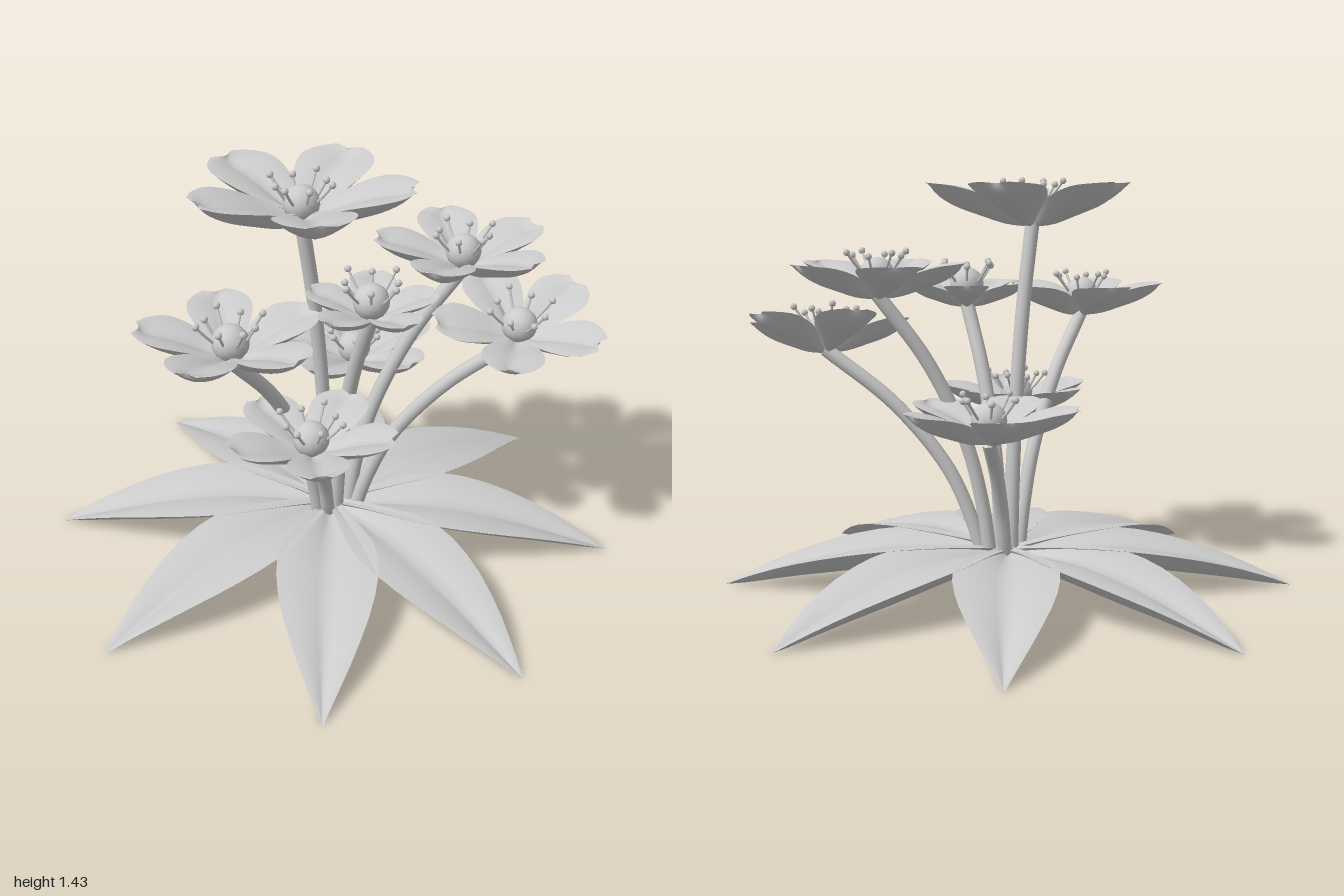
import * as THREE from 'three';
import { mergeGeometries } from 'three/addons/utils/BufferGeometryUtils.js';

const material = new THREE.MeshStandardMaterial({ color: 0xcccccc });
const rad = THREE.MathUtils.degToRad;

function addMesh(parent, name, geometry) {
  const mesh = new THREE.Mesh(geometry, material);
  mesh.name = name;
  parent.add(mesh);
  return mesh;
}

// Boat-shaped blade along +z: shallow creased top, rounded belly, sharp rim.
// stations: [distance, half width, rim height, belly depth]
function bladeGeometry(stations, dip, notch, rows = 14, cols = 10) {
  const last = stations.length - 1;
  const curves = [
    new THREE.CatmullRomCurve3(stations.map(s => new THREE.Vector3(s[0], s[1], s[2]))),
    new THREE.CatmullRomCurve3(stations.map((s, i) => new THREE.Vector3(i / last, s[3], 0))),
  ];
  const surface = top => {
    const pos = [], index = [];
    for (let i = 0; i <= rows; i++) {
      const t = i / rows;
      const p = curves[0].getPoint(t);
      const belly = Math.max(curves[1].getPoint(t).y, 0);
      for (let j = 0; j <= cols; j++) {
        const v = (j / cols) * 2 - 1;
        // The crease is deepest mid-blade; the belly is a rounded keel
        const drop = top
          ? Math.min(dip, belly * 0.5) * (1 - Math.abs(v)) ** 2
          : belly * (1 - Math.abs(v) ** 1.7);
        const nick = notch * t ** 12 * (1 - Math.abs(v));
        pos.push(v * Math.max(p.y, 0), p.z - drop, p.x - nick);
        if (i < rows && j < cols) {
          const a = i * (cols + 1) + j, b = a + cols + 1;
          if (top) index.push(a, b, a + 1, b, b + 1, a + 1);
          else index.push(a, a + 1, b, b, a + 1, b + 1);
        }
      }
    }
    const g = new THREE.BufferGeometry();
    g.setAttribute('position', new THREE.Float32BufferAttribute(pos, 3));
    g.setIndex(index);
    g.computeVertexNormals();
    return g;
  };
  return mergeGeometries([surface(true), surface(false)]);
}

const leafGeometry = bladeGeometry([
  [0, 0.02, 0.15, 0.03], [0.16, 0.09, 0.17, 0.07], [0.36, 0.168, 0.18, 0.09],
  [0.56, 0.16, 0.155, 0.09], [0.76, 0.105, 0.105, 0.065], [0.92, 0.04, 0.045, 0.03],
  [1, 0.004, 0.008, 0],
], 0.03, 0);

const petalGeometry = bladeGeometry([
  [0, 0.05, 0.15, 0.14], [0.25, 0.2, 0.23, 0.19], [0.5, 0.32, 0.33, 0.21],
  [0.72, 0.35, 0.39, 0.19], [0.89, 0.27, 0.41, 0.11], [1, 0.13, 0.42, 0.01],
], 0.07, 0.06);

// Thin filament leaning outwards with a bead on its end
function makeStamen(height, reach) {
  const stamen = new THREE.Group();
  stamen.name = 'stamen';
  const tip = new THREE.Vector3(0, height, reach);
  const path = new THREE.QuadraticBezierCurve3(
    new THREE.Vector3(0, 0.08, 0.04), new THREE.Vector3(0, height * 0.75, reach * 0.75), tip);
  addMesh(stamen, 'filament', new THREE.TubeGeometry(path, 4, 0.0045, 6));
  addMesh(stamen, 'anther', new THREE.SphereGeometry(0.012, 8, 6)).position.copy(tip);
  return stamen;
}

function makeFlower({ at, size, turn, tilt }) {
  const flower = new THREE.Group();
  flower.name = 'flower';
  for (let i = 0; i < 5; i++) {
    const petal = addMesh(flower, 'petal', petalGeometry);
    petal.scale.setScalar(size);
    petal.rotation.y = Math.PI / 2 - rad(turn + i * 72);
  }
  const heart = addMesh(flower, 'flowerCentre', new THREE.SphereGeometry(0.06, 16, 12));
  heart.position.y = 0.085;
  for (let i = 0; i < 8; i++) {
    const stamen = makeStamen(i % 2 ? 0.15 : 0.162, i % 2 ? 0.085 : 0.11);
    stamen.rotation.y = rad(turn + i * 45);
    flower.add(stamen);
  }
  flower.position.set(...at);
  if (tilt) {
    flower.quaternion.setFromUnitVectors(
      new THREE.Vector3(0, 1, 0), new THREE.Vector3(...tilt).normalize());
  }
  return flower;
}

// Stem rises steeply from the middle, then bends out to its flower
function stemGeometry([x, y, z]) {
  const points = [[0.14, 0.1], [0.2, 0.3], [0.33, 0.52], [0.62, 0.79], [1, 1.02]].map(
    ([out, up]) => new THREE.Vector3(x * out, up === 0.1 ? 0.12 : y * up, z * out));
  return new THREE.TubeGeometry(new THREE.CatmullRomCurve3(points), 20, 0.025, 10);
}

export function createModel() {
  const plant = new THREE.Group();
  plant.name = 'floweringPlant';

  // Rosette of leaves
  const leaves = new THREE.Group();
  leaves.name = 'leaves';
  for (const angle of [-92, -46, 0, 39, 85, 131, 177, 223]) {
    const leaf = addMesh(leaves, 'leaf', leafGeometry);
    leaf.rotation.y = Math.PI / 2 - rad(angle);
  }
  plant.add(leaves);

  // Stems with their flowers
  const flowers = [
    { at: [0.015, 1.26, 0.13], size: 0.37, turn: 27 },
    { at: [0.22, 1.025, -0.39], size: 0.3, turn: -10 },
    { at: [0.13, 0.925, 0.49], size: 0.3, turn: -12 },
    { at: [0.44, 0.83, -0.45], size: 0.29, turn: -22, tilt: [0.17, 1, 0.13] },
    { at: [0.25, 0.975, 0.03], size: 0.22, turn: 5 },
    { at: [-0.15, 0.56, -0.22], size: 0.3, turn: -80 },
    { at: [0.26, 0.56, 0.28], size: 0.28, turn: 30 },
  ];
  for (const spec of flowers) {
    addMesh(plant, 'stem', stemGeometry(spec.at));
    plant.add(makeFlower(spec));
  }
  return plant;
}
